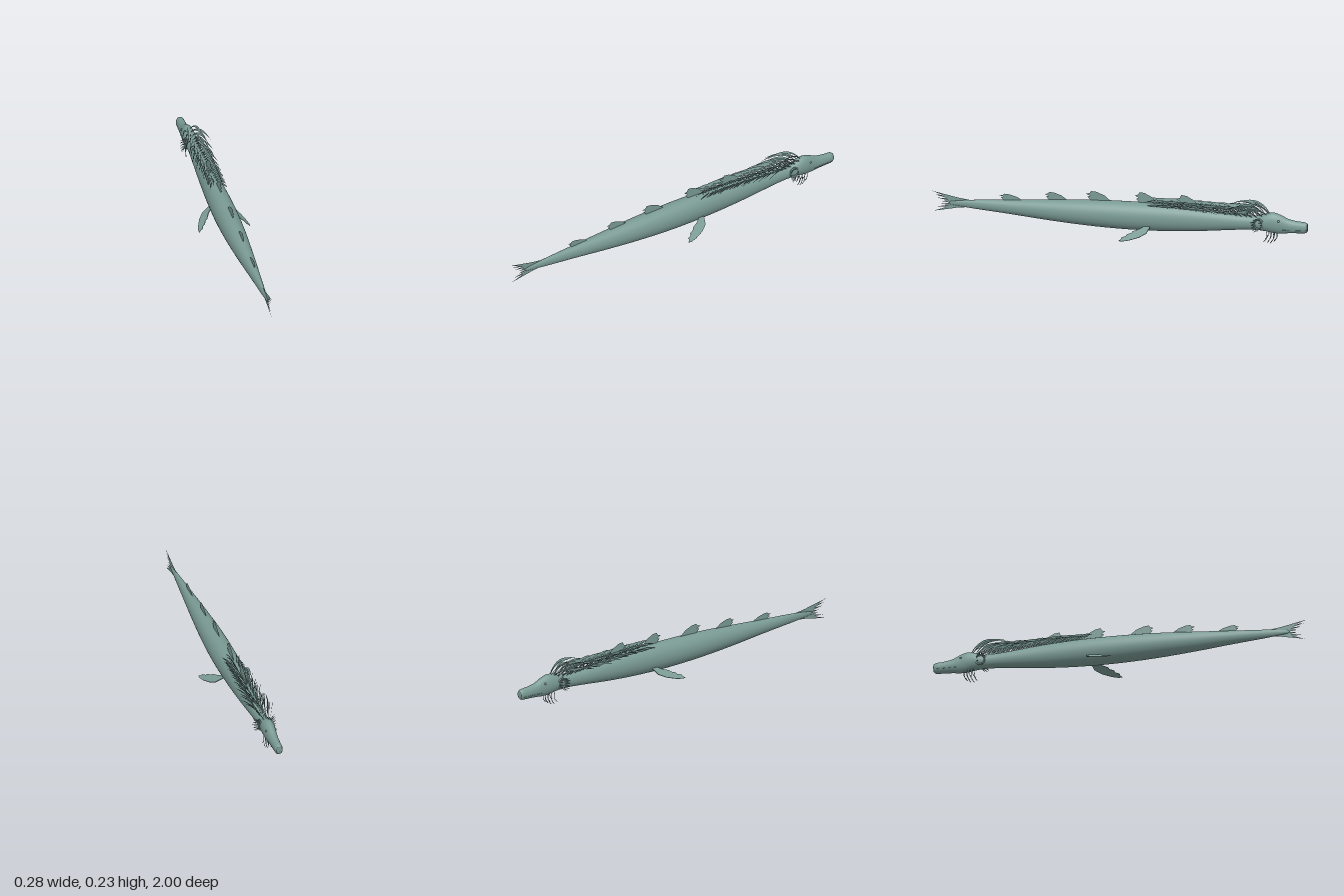
import * as THREE from 'three';

const skin = new THREE.MeshStandardMaterial({ color: 0x7a9a94, side: THREE.DoubleSide });
skin.name = 'sea green skin';
const V = (x, y, z) => new THREE.Vector3(x, y, z);

// Body stations from snout to tail: z, bottom y, top y, half width
const stations = [
  [-1.0, 0.088, 0.13, 0.016], [-0.99, 0.08, 0.137, 0.021], [-0.95, 0.077, 0.141, 0.023],
  [-0.9, 0.074, 0.15, 0.025], [-0.86, 0.069, 0.169, 0.028], [-0.82, 0.07, 0.181, 0.033],
  [-0.78, 0.077, 0.175, 0.034], [-0.74, 0.081, 0.159, 0.031], [-0.68, 0.08, 0.158, 0.031],
  [-0.6, 0.073, 0.163, 0.035], [-0.4, 0.053, 0.181, 0.047], [-0.2, 0.042, 0.19, 0.056],
  [0, 0.041, 0.19, 0.06], [0.2, 0.049, 0.184, 0.055], [0.4, 0.064, 0.171, 0.043],
  [0.6, 0.083, 0.157, 0.028], [0.8, 0.1, 0.143, 0.012], [0.9, 0.112, 0.13, 0.004],
];

// Interpolated station at a given z: centre y, half height, half width
function section(z) {
  let i = 0;
  while (i < stations.length - 2 && stations[i + 1][0] < z) i++;
  const a = stations[i], b = stations[i + 1], t = (z - a[0]) / (b[0] - a[0]);
  const [lo, hi, w] = [1, 2, 3].map(k => a[k] + (b[k] - a[k]) * t);
  return { y: (lo + hi) / 2, h: (hi - lo) / 2, w };
}

function bodyGeometry() {
  const N = 40, pos = [], index = [];
  // Smooth the stations along the length
  const edge = new THREE.CatmullRomCurve3(stations.map(s => V(s[1], s[2], s[0])), false, 'centripetal');
  const width = new THREE.CatmullRomCurve3(stations.map(s => V(s[3], 0, s[0])), false, 'centripetal');
  const M = 85;
  for (let i = 0; i <= M; i++) {
    const e = edge.getPoint(i / M), w = width.getPoint(i / M).x;
    for (let j = 0; j < N; j++) {
      const a = j / N * Math.PI * 2;
      pos.push(w * Math.cos(a), (e.x + e.y) / 2 + (e.y - e.x) / 2 * Math.sin(a), e.z);
    }
  }
  for (let i = 0; i < M; i++) for (let j = 0; j < N; j++) {
    const a = i * N + j, b = i * N + (j + 1) % N;
    index.push(a, b, a + N, b, b + N, a + N);
  }
  // Close the snout and the tail
  const nose = pos.length / 3;
  pos.push(0, 0.109, -1, 0, 0.121, 0.91);
  for (let j = 0; j < N; j++) {
    const k = (j + 1) % N;
    index.push(nose, k, j, nose + 1, M * N + j, M * N + k);
  }
  const g = new THREE.BufferGeometry();
  g.setAttribute('position', new THREE.Float32BufferAttribute(pos, 3));
  g.setIndex(index);
  g.computeVertexNormals();
  return g;
}

// Tapering ribbon along a bent path; wide is the direction of its width
function blade(p0, p1, p2, width, wide, root = 0.5) {
  const curve = new THREE.QuadraticBezierCurve3(p0, p1, p2);
  const g = new THREE.PlaneGeometry(1, 1, 2, 10), p = g.attributes.position;
  const side = wide.clone().normalize();
  for (let i = 0; i < p.count; i++) {
    const t = p.getY(i) + 0.5;
    const w = width * (root + (1 - root) * Math.sin(Math.PI * t)) * (1 - t ** 4);
    const q = curve.getPoint(t).addScaledVector(side, p.getX(i) * w);
    p.setXYZ(i, q.x, q.y, q.z);
  }
  g.computeVertexNormals();
  return g;
}

// Flat fin in the middle plane from [z, y] points
function flatFin(points) {
  const s = new THREE.Shape(points.map(p => new THREE.Vector2(...p)));
  return new THREE.ShapeGeometry(s).rotateY(-Math.PI / 2);
}

export function createModel() {
  const model = new THREE.Group();
  model.name = 'seaSerpent';
  const add = (geometry, name, parent = model) => {
    const m = new THREE.Mesh(geometry, skin);
    m.name = name;
    parent.add(m);
    return m;
  };
  const group = name => {
    const g = new THREE.Group();
    g.name = name;
    model.add(g);
    return g;
  };

  add(bodyGeometry(), 'body');

  // Ragged forked tail
  add(flatFin([[0.76, 0.138], [0.86, 0.152], [1.0, 0.181], [0.94, 0.16], [0.985, 0.162], [0.92, 0.146],
    [0.97, 0.144], [0.91, 0.133], [0.95, 0.127], [0.9, 0.121], [0.95, 0.112], [0.91, 0.109],
    [0.98, 0.094], [0.92, 0.097], [0.99, 0.071], [0.86, 0.097], [0.76, 0.108]]), 'tailFin');

  // Swept back fins along the spine: front z, back z, tip y
  const spine = group('dorsalFins');
  for (const [z0, z1, top] of [[0.51, 0.64, 0.19], [0.27, 0.4, 0.216], [0.04, 0.18, 0.236],
    [-0.21, -0.08, 0.247], [-0.44, -0.3, 0.246]]) {
    const s = section(z0), b = s.y + s.h - 0.008, e = section(z1), c = e.y + e.h - 0.008;
    const L = z1 - z0, H = top - b;
    add(flatFin([[z0, b], [z0 + L * 0.3, b + H * 0.65], [z0 + L * 0.6, b + H * 0.95], [z1 - L * 0.2, top],
      [z1 - L * 0.14, b + H * 0.78], [z1, b + H * 0.7], [z1 - L * 0.16, b + H * 0.52],
      [z1 - L * 0.06, b + H * 0.42], [z1 - L * 0.25, c]]), 'dorsalFin', spine);
  }

  const mane = group('mane');
  for (const s of [-1, 1]) {
    const side = s > 0 ? 'left' : 'right';

    // Side flipper with a notched trailing edge
    const shape = new THREE.Shape([[0, 0], [0.045, -0.022], [0.09, -0.016], [0.14, 0.005], [0.17, 0.024], [0.183, 0.04],
      [0.165, 0.04], [0.158, 0.047], [0.135, 0.038], [0.125, 0.044], [0.1, 0.034], [0.088, 0.038],
      [0.05, 0.025], [0, 0.02]].map(p => new THREE.Vector2(...p)));
    const flipper = new THREE.ExtrudeGeometry(shape, { depth: 0.004, bevelEnabled: false });
    const out = V(s * 0.115, -0.075, 0.125).normalize();
    const normal = V(s * 0.55, 0.84, 0).normalize();
    const back = new THREE.Vector3().crossVectors(normal, out).multiplyScalar(-s).normalize();
    const p = flipper.attributes.position;
    for (let i = 0; i < p.count; i++) {
      // Blade thins towards its tip
      const q = V(s * 0.046, 0.077, -0.172).addScaledVector(out, p.getX(i))
        .addScaledVector(back, p.getY(i))
        .addScaledVector(normal, (p.getZ(i) - 0.002) * (1.3 - p.getX(i) * 5));
      p.setXYZ(i, q.x, Math.max(q.y, 0), q.z);
    }
    flipper.computeVertexNormals();
    add(flipper, side + 'Flipper');

    // Mane strands sweeping up, out and back, in two rows
    for (let i = 0; i < 22; i++) for (const row of [0, 1]) {
      const z = -0.8 + i * 0.0265 + row * 0.012, k = i / 21;
      const c = section(z), y = c.y + c.h - 0.005 - row * 0.003;
      const vary = Math.sin(i * 2.4 + row) * 0.5 + 0.5;
      const len = 0.17 - 0.075 * k - row * 0.03 + vary * 0.02;
      const reach = (row ? 0.05 : 0.028) + 0.03 * (1 - k) * vary;
      const lift = 0.064 - 0.035 * k - row * 0.02;
      add(blade(V(s * (0.004 + row * 0.01), y, z), V(s * reach * 0.6, y + lift * 1.4, z + len * 0.35),
        V(s * reach, y + lift * 0.5 + 0.004, z + len), 0.013, V(s * 0.35, 1, 0.25)), 'maneStrand', mane);
    }

    // Ringed frill behind the jaw
    const frill = group(side + 'Frill');
    const ring = add(new THREE.TorusGeometry(0.024, 0.004, 8, 28), 'frillRim', frill);
    ring.rotation.y = Math.PI / 2;
    ring.scale.y = 1.15;
    ring.position.set(s * 0.029, 0.122, -0.745);
    for (let i = 0; i < 14; i++) {
      const a = i / 14 * Math.PI * 2, y = Math.sin(a), z = Math.cos(a);
      add(blade(V(s * 0.028, 0.122 + y * 0.02, -0.745 + z * 0.018),
        V(s * 0.046, 0.122 + y * 0.032, -0.742 + z * 0.024),
        V(s * 0.059, 0.122 + y * 0.038, -0.728 + z * 0.024), 0.006, V(0, z, -y)), 'frillSpike', frill);
    }

    // Chin barbels
    for (let i = 0; i < 4; i++) {
      const z = -0.835 + i * 0.017, x = s * (0.009 + i * 0.003);
      const path = new THREE.QuadraticBezierCurve3(V(x, 0.078, z), V(x * 1.1, 0.045, z - 0.012),
        V(x * 1.15, 0.012 + Math.abs(i - 1.5) * 0.009, z + 0.014));
      add(new THREE.TubeGeometry(path, 10, 0.0017, 5), 'chinBarbel');
    }

    // Lip line along the muzzle
    const lip = [-0.998, -0.985, -0.95, -0.91, -0.87].map((z, i) => {
      const c = section(z), y = 0.099 - i * 0.001, d = (y - c.y) / c.h;
      return V(s * c.w * Math.sqrt(Math.max(0, 1 - d * d)), y, z);
    });
    add(new THREE.TubeGeometry(new THREE.CatmullRomCurve3([V(0, 0.099, -0.999), ...lip]), 24, 0.0013, 5), side + 'Lip');

    // Small eye
    const c = section(-0.85);
    const eye = add(new THREE.SphereGeometry(0.006, 14, 10), side + 'Eye');
    eye.position.set(s * c.w * 0.87, c.y + c.h * 0.45, -0.85);
  }
  return model;
}
